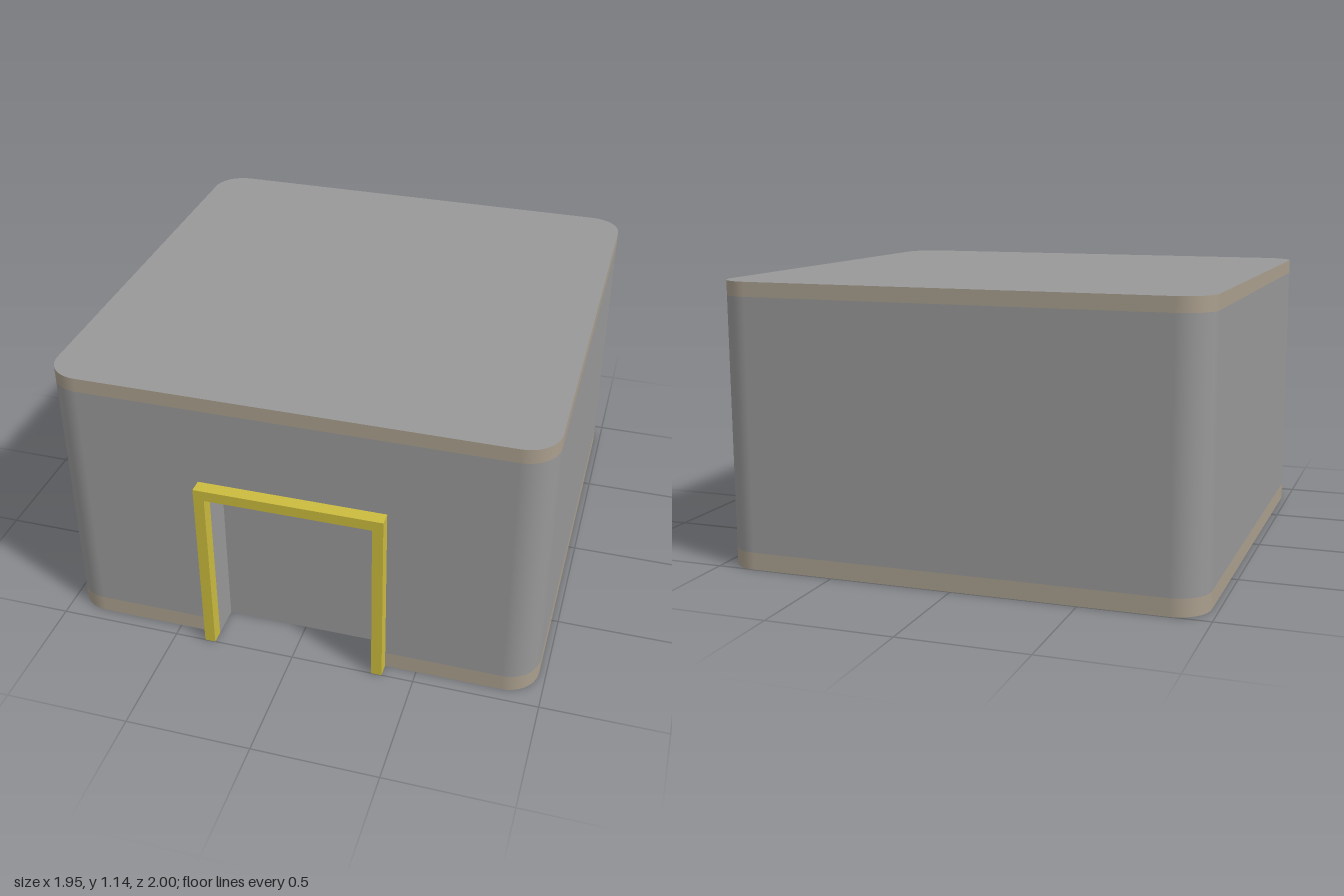
import * as THREE from 'three';

const HALF = 0.9725, R = 0.13, FRONT = 0.945, BACK = -1;
const HEIGHT = 1.145, BAND_LOW = 0.07, BAND_HIGH = 1.087;
const DOOR_W = 0.33, DOOR_H = 0.72, RECESS = 0.13, TRIM = 0.043;

// Outline of the building in plan, from the front left corner round the back
function outline() {
  const pts = [];
  const corners = [[1, 1], [1, -1], [-1, -1], [-1, 1]];
  corners.forEach(([sx, sz], c) => {
    const cx = sx * (HALF - R);
    const cz = sz > 0 ? FRONT - R : BACK + R;
    for (let i = 0; i <= 10; i++) {
      const a = Math.PI / 2 * (1 - c - i / 10);
      const nx = Math.cos(a), nz = Math.sin(a);
      pts.push({ x: cx + R * nx, z: cz + R * nz, nx, nz });
    }
  });
  return pts;
}

// Upright strip following the outline; frontX carries it along the front to +-frontX
function strip(y0, y1, frontX) {
  const pts = outline();
  if (frontX !== undefined) {
    pts.unshift({ x: frontX, z: FRONT, nx: 0, nz: 1 });
    pts.push({ x: -frontX, z: FRONT, nx: 0, nz: 1 });
  }
  const pos = [], nor = [], idx = [];
  pts.forEach((p, i) => {
    pos.push(p.x, y0, p.z, p.x, y1, p.z);
    nor.push(p.nx, 0, p.nz, p.nx, 0, p.nz);
    if (i < pts.length - 1) {
      const a = i * 2;
      idx.push(a, a + 2, a + 1, a + 2, a + 3, a + 1);
    }
  });
  const g = new THREE.BufferGeometry();
  g.setAttribute('position', new THREE.Float32BufferAttribute(pos, 3));
  g.setAttribute('normal', new THREE.Float32BufferAttribute(nor, 3));
  g.setIndex(idx);
  return g;
}

function polygon(points) {
  return new THREE.Shape(points.map(([x, y]) => new THREE.Vector2(x, y)));
}

export function createModel() {
  const model = new THREE.Group();
  model.name = 'building';

  const wallGrey = new THREE.MeshStandardMaterial({ name: 'wall grey', color: 0x989898 });
  const bandTan = new THREE.MeshStandardMaterial({ name: 'band tan', color: 0xaa9f8e });
  const trimYellow = new THREE.MeshStandardMaterial({ name: 'trim yellow', color: 0xcbbb3e });

  const add = (name, geometry, material) => {
    const mesh = new THREE.Mesh(geometry, material);
    mesh.name = name;
    model.add(mesh);
    return mesh;
  };

  // Walls with rounded corners, and the flat front cut round the doorway
  add('walls', strip(BAND_LOW, BAND_HIGH), wallGrey);
  const fx = HALF - R;
  const front = polygon([
    [-fx, BAND_LOW], [-DOOR_W, BAND_LOW], [-DOOR_W, DOOR_H], [DOOR_W, DOOR_H],
    [DOOR_W, BAND_LOW], [fx, BAND_LOW], [fx, BAND_HIGH], [-fx, BAND_HIGH],
  ]);
  add('frontWall', new THREE.ShapeGeometry(front).translate(0, 0, FRONT), wallGrey);

  // Bands round the foot and the top
  add('lowerBand', strip(0, BAND_LOW, DOOR_W), bandTan);
  add('upperBand', strip(BAND_HIGH, HEIGHT, 0), bandTan);

  // Roof, and floor notched at the doorway
  const roof = polygon(outline().map(p => [p.x, -p.z]));
  add('roof', new THREE.ShapeGeometry(roof).rotateX(-Math.PI / 2).translate(0, HEIGHT, 0), wallGrey);
  const floor = polygon([
    ...outline().map(p => [p.x, p.z]),
    [-DOOR_W, FRONT], [-DOOR_W, FRONT - RECESS], [DOOR_W, FRONT - RECESS], [DOOR_W, FRONT],
  ]);
  add('floor', new THREE.ShapeGeometry(floor).rotateX(Math.PI / 2), wallGrey);

  // Doorway recess: back, sides and ceiling
  const midZ = FRONT - RECESS / 2;
  add('door', new THREE.PlaneGeometry(DOOR_W * 2, DOOR_H), wallGrey)
    .position.set(0, DOOR_H / 2, FRONT - RECESS);
  for (const s of [-1, 1]) {
    const jamb = add(s > 0 ? 'leftJamb' : 'rightJamb', new THREE.PlaneGeometry(RECESS, DOOR_H), wallGrey);
    jamb.rotation.y = -s * Math.PI / 2;
    jamb.position.set(s * DOOR_W, DOOR_H / 2, midZ);
  }
  const lintel = add('doorwayCeiling', new THREE.PlaneGeometry(DOOR_W * 2, RECESS), wallGrey);
  lintel.rotation.x = Math.PI / 2;
  lintel.position.set(0, DOOR_H, midZ);

  // Door frame standing proud of the front
  const ox = DOOR_W + TRIM, oy = DOOR_H + TRIM;
  const frame = polygon([
    [-ox, 0], [-DOOR_W, 0], [-DOOR_W, DOOR_H], [DOOR_W, DOOR_H],
    [DOOR_W, 0], [ox, 0], [ox, oy], [-ox, oy],
  ]);
  add('doorFrame', new THREE.ExtrudeGeometry(frame, { depth: 1 - FRONT, bevelEnabled: false })
    .translate(0, 0, FRONT), trimYellow);

  return model;
}
